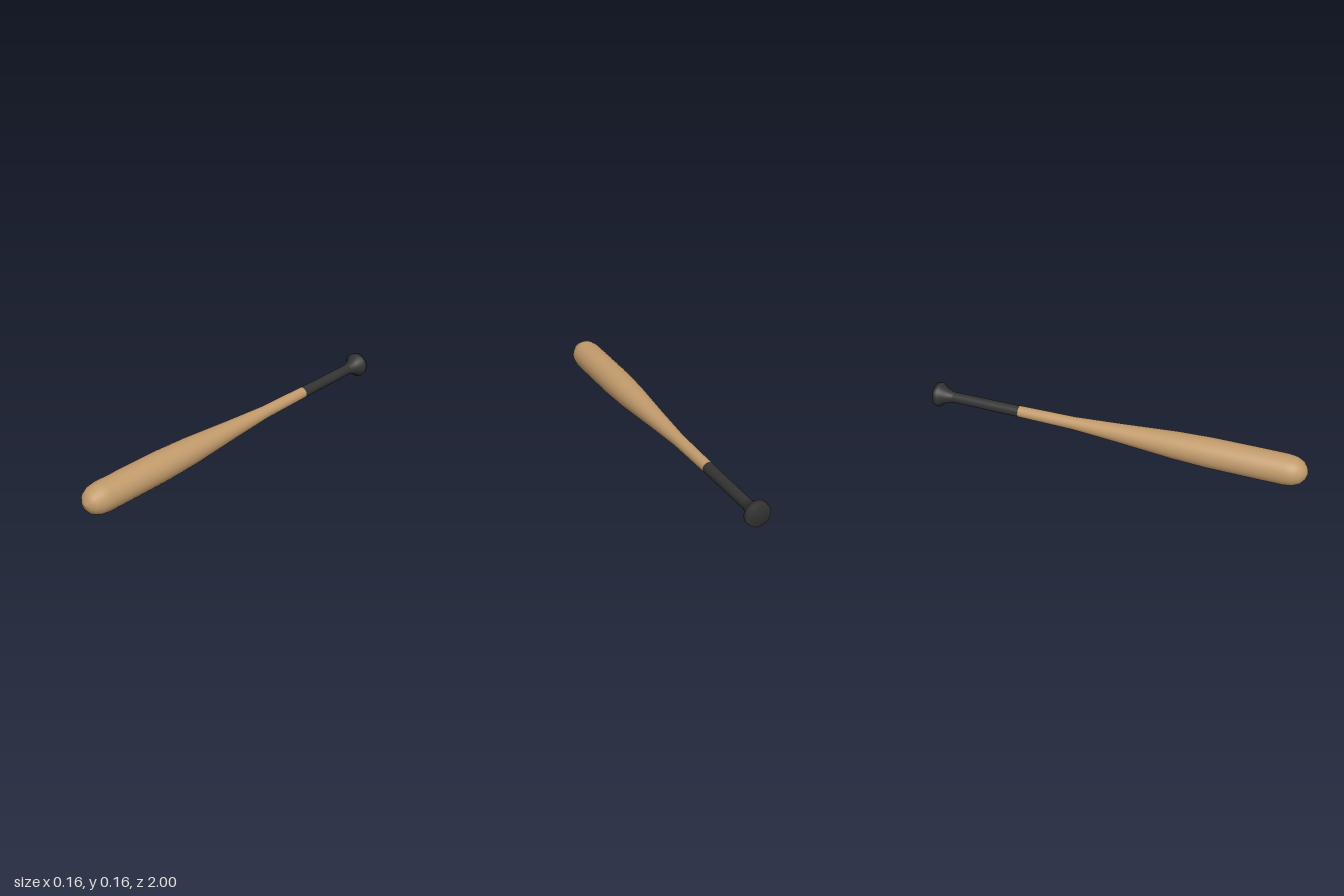
import * as THREE from 'three';

const AXIS_HEIGHT = 0.08;

// Spin a [radius, z] profile around the long axis, listed from back to front.
function turned(name, profile, material) {
  const points = profile.map(([r, z]) => new THREE.Vector2(r, z));
  const geometry = new THREE.LatheGeometry(points, 32);
  geometry.rotateX(Math.PI / 2);
  const mesh = new THREE.Mesh(geometry, material);
  mesh.name = name;
  mesh.position.y = AXIS_HEIGHT;
  return mesh;
}

export function createModel() {
  const wood = new THREE.MeshStandardMaterial({ color: 0xc19a6b });
  wood.name = 'wood';
  const rubber = new THREE.MeshStandardMaterial({ color: 0x333333 });
  rubber.name = 'dark grip';

  const bat = new THREE.Group();
  bat.name = 'bat';

  // Flared knob at the back end
  bat.add(turned('knob', [
    [0, -1], [0.061, -1], [0.065, -0.975], [0.044, -0.95], [0.031, -0.915], [0.028, -0.9],
  ], rubber));

  // Wrapped handle
  bat.add(turned('grip', [[0.028, -0.9], [0.029, -0.7], [0.03, -0.525]], rubber));

  // Tapering shaft, barrel and rounded tip
  bat.add(turned('barrel', [
    [0.03, -0.525], [0.034, -0.22], [0.049, 0.02], [0.071, 0.32], [0.078, 0.5],
    [0.079, 0.7], [0.079, 0.89], [0.073, 0.935], [0.056, 0.97], [0.031, 0.99], [0, 1],
  ], wood));

  return bat;
}
